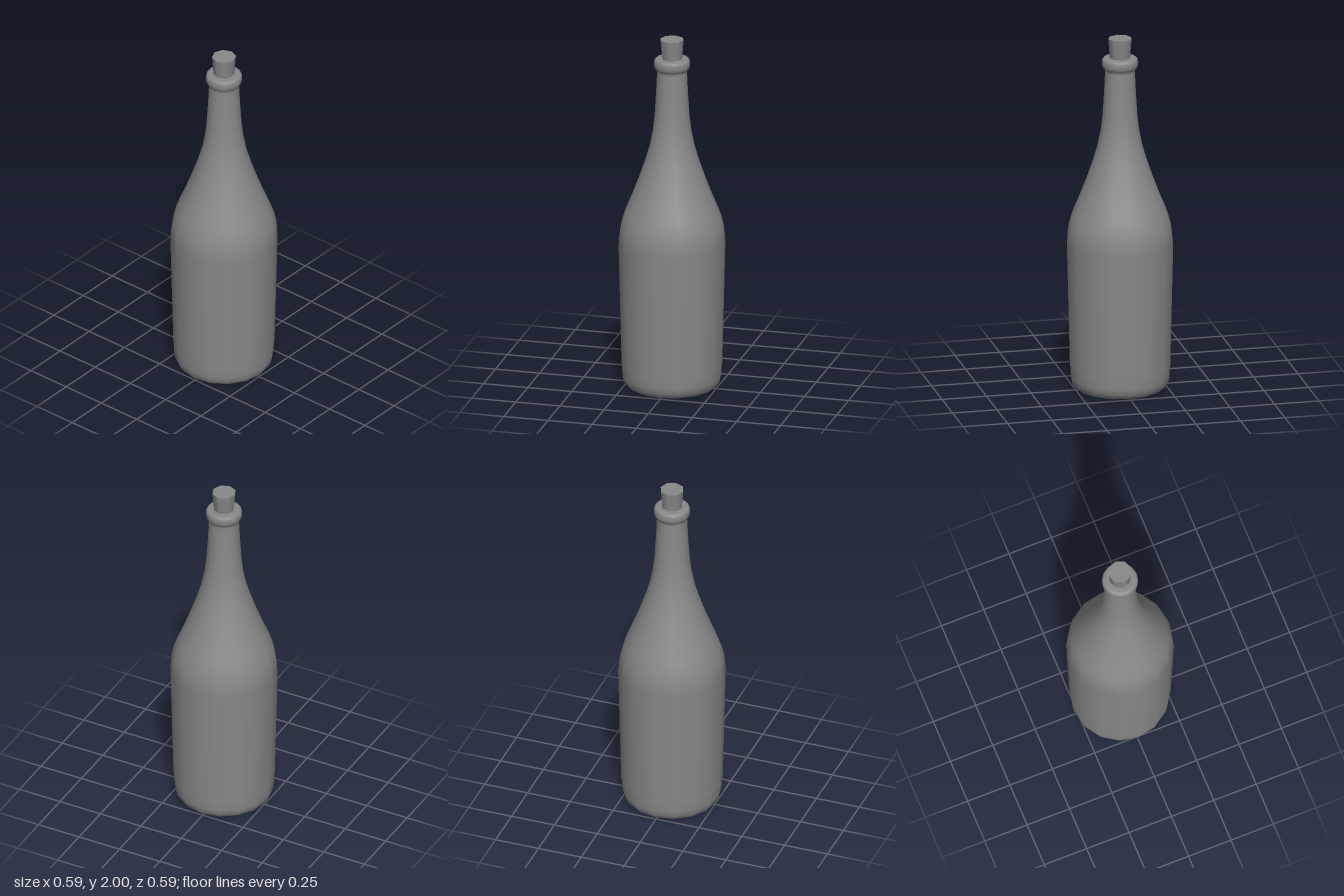
import * as THREE from 'three';

const SIDES = 16;

function lathe(name, profile, material) {
  const points = profile.map(([r, y]) => new THREE.Vector2(r, y));
  const mesh = new THREE.Mesh(new THREE.LatheGeometry(points, SIDES), material);
  mesh.name = name;
  return mesh;
}

export function createModel() {
  const group = new THREE.Group();
  group.name = 'corkedBottle';
  const glass = new THREE.MeshStandardMaterial({ color: 0x888888 });
  const paper = new THREE.MeshStandardMaterial({ color: 0x888888, side: THREE.DoubleSide });

  // Flat base, rounded heel, slightly flaring body, long shoulder, neck and rounded lip
  group.add(lathe('bottle', [
    [0, 0], [0.23, 0], [0.233, 0.001], [0.252, 0.012], [0.267, 0.034], [0.273, 0.065],
    [0.276, 0.13], [0.292, 0.82], [0.291, 0.87], [0.285, 0.92], [0.272, 0.97], [0.254, 1.02],
    [0.221, 1.1], [0.183, 1.2], [0.149, 1.3], [0.123, 1.39], [0.106, 1.48], [0.096, 1.57],
    [0.088, 1.7], [0.083, 1.81], [0.085, 1.825], [0.092, 1.831], [0.098, 1.843], [0.1, 1.857],
    [0.099, 1.873], [0.096, 1.883], [0.089, 1.889], [0.078, 1.891], [0.05, 1.891],
  ], glass));

  // Label wrapped all the way round the body
  group.add(lathe('label', [[0.278, 0.125], [0.295, 0.83]], paper));

  // Tapered eight-sided cork
  const cork = new THREE.Mesh(new THREE.CylinderGeometry(0.066, 0.05, 0.2, 8), glass);
  cork.name = 'cork';
  cork.position.y = 1.9;
  group.add(cork);

  return group;
}
